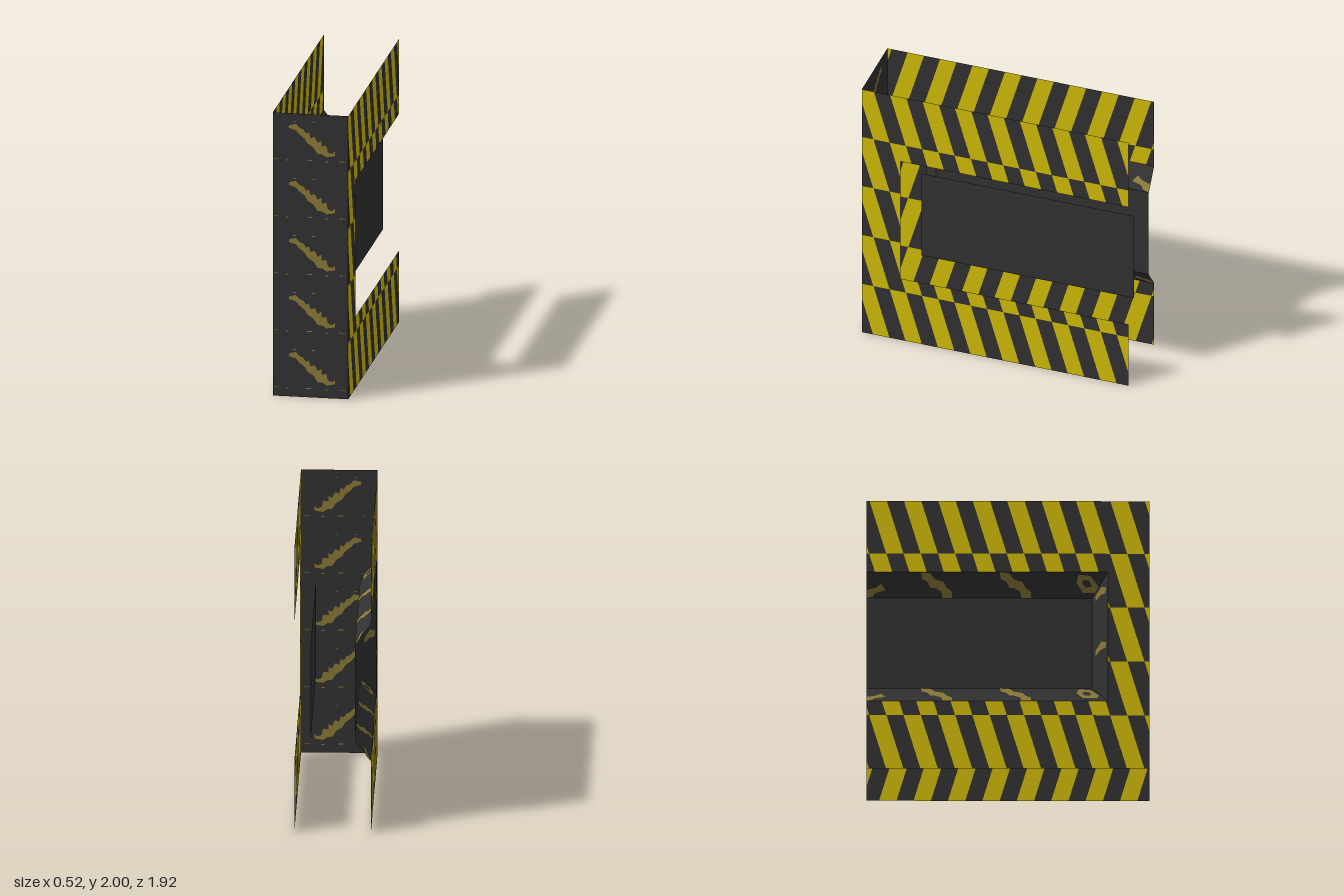
import * as THREE from 'three';
import { mergeGeometries } from 'three/addons/utils/BufferGeometryUtils.js';

const HX = 0.26, HZ = 0.96, H = 2;           // half width, half depth, height
const CUT = { lo: 0.505, hi: 1.47, z: 0.68 }; // side opening
const PAN = { lo: 0.65, hi: 1.325, z: 0.57, x: 0.15 }; // recessed panel
const ROW = 0.403, PITCH = 0.2335, BAND = 0.118, LEAN = 0.116;

const mat = (name, color) => {
  const m = new THREE.MeshStandardMaterial({ color, side: THREE.DoubleSide });
  m.name = name;
  return m;
};

// Flat convex polygons (arrays of [x, y, z]) as one geometry
function polygons(list) {
  const pos = [];
  for (const p of list)
    for (let i = 1; i < p.length - 1; i++) pos.push(...p[0], ...p[i], ...p[i + 1]);
  const g = new THREE.BufferGeometry();
  g.setAttribute('position', new THREE.Float32BufferAttribute(pos, 3));
  g.computeVertexNormals();
  return g;
}

// Cut a convex 2D polygon to a rectangle
function clip(poly, [u0, v0, u1, v1]) {
  for (const [axis, limit, sign] of [[0, u0, 1], [0, u1, -1], [1, v0, 1], [1, v1, -1]]) {
    const out = [];
    poly.forEach((a, i) => {
      const b = poly[(i + 1) % poly.length];
      const da = (a[axis] - limit) * sign, db = (b[axis] - limit) * sign;
      if (da >= 0) out.push(a);
      if (da * db < 0) {
        const t = da / (da - db);
        out.push([a[0] + (b[0] - a[0]) * t, a[1] + (b[1] - a[1]) * t]);
      }
    });
    poly = out;
  }
  return poly;
}

// Painted patch on the plane spanned by X and Y: one sheet just off each side
function patch(shapes, origin, X, Y) {
  const x = new THREE.Vector3(...X), y = new THREE.Vector3(...Y);
  const n = x.clone().cross(y).normalize();
  const place = new THREE.Matrix4().makeBasis(x, y, n).setPosition(...origin);
  return mergeGeometries([-0.002, 0.002].map(d =>
    new THREE.ShapeGeometry(shapes).translate(0, 0, d).applyMatrix4(place)));
}

const outline = (pts, du = 0, dv = 0) =>
  new THREE.Shape(pts.map(([u, v]) => new THREE.Vector2(u + du, v + dv)));

export function createModel() {
  const model = new THREE.Group();
  const dark = mat('charcoal', 0x323232);
  const yellow = mat('hazardYellow', 0xd4be08);
  const worn = mat('wornPaint', 0x8c7b38);
  const add = (name, geometry, material) => {
    const m = new THREE.Mesh(geometry, material);
    m.name = name;
    model.add(m);
  };

  // Striped C-shaped side walls; u runs left to right seen from outside.
  // The stripes run on from the front corner, so each wall has its own phase.
  for (const side of [1, -1]) {
    const name = side > 0 ? 'left' : 'right';
    const phase = side > 0 ? -0.76 : -0.76 + (2 * HZ) % PITCH;
    const column = side > 0 ? [-HZ, -CUT.z] : [CUT.z, HZ];
    const rects = [
      [-HZ, 0, HZ, CUT.lo],
      [-HZ, CUT.hi, HZ, H],
      [column[0], CUT.lo, column[1], CUT.hi],
    ];
    const bands = { yellow: [], dark: [] };
    for (let r = 0; r < 5; r++) {
      const top = 0.398 + r * ROW, bottom = top - ROW;
      for (let k = -3; k < 10; k++) {
        const start = phase + k * PITCH;
        for (const [key, a, b] of [['yellow', start, start + BAND], ['dark', start + BAND, start + PITCH]])
          for (const rect of rects) {
            const p = clip([[a + LEAN, bottom], [b + LEAN, bottom], [b, top], [a, top]], rect);
            if (p.length > 2) bands[key].push(p.map(([u, v]) => [side * HX, v, -side * u]));
          }
      }
    }
    add(name + 'WallYellowStripes', polygons(bands.yellow), yellow);
    add(name + 'WallDarkStripes', polygons(bands.dark), dark);

    // Recessed panel
    const x = side * PAN.x;
    const quad = [[x, PAN.lo, PAN.z], [x, PAN.lo, -HZ], [x, PAN.hi, -HZ], [x, PAN.hi, PAN.z]];
    add(name + 'Panel', polygons([side > 0 ? quad : quad.reverse()]), dark);
  }

  // Front wall with a column of worn streaks and faint dashes between them
  add('frontWall', polygons([[[-HX, 0, HZ], [HX, 0, HZ], [HX, H, HZ], [-HX, H, HZ]]]), dark);
  const streak = [
    [-0.15, 0.085], [-0.145, 0.105], [-0.1, 0.115], [-0.07, 0.085], [-0.05, 0.08], [-0.03, 0.05],
    [-0.01, 0.06], [0.0, 0.02], [0.03, 0.03], [0.05, -0.01], [0.075, 0.005], [0.075, -0.035],
    [0.11, -0.03], [0.12, -0.075], [0.15, -0.085], [0.17, -0.065], [0.17, -0.1], [0.11, -0.11],
    [0.08, -0.09], [0.05, -0.09], [0.02, -0.045], [-0.02, -0.02], [-0.04, 0.015], [-0.08, 0.045],
    [-0.1, 0.07],
  ];
  const frontMarks = [];
  for (let i = 0; i < 5; i++) {
    const y = 0.2 + i * ROW;
    frontMarks.push(outline(streak, 0, y));
    for (const [x, dy, w] of [[-0.25, -0.14, 0.03], [-0.17, -0.145, 0.02], [-0.03, -0.14, 0.04],
      [0.1, -0.145, 0.02], [0.2, -0.14, 0.04], [-0.12, 0.13, 0.02], [0.01, 0.13, 0.02]])
      frontMarks.push(outline([[x, dy], [x + w, dy], [x + w, dy + 0.005], [x, dy + 0.005]], 0, y));
  }
  add('frontMarks', patch(frontMarks, [0, 0, HZ], [1, 0, 0], [0, 1, 0]), worn);

  // Sloped rim joining the right wall to its panel
  const o = -HX, n = -PAN.x;
  add('rightRim', polygons([
    [[o, CUT.hi, -HZ], [o, CUT.hi, CUT.z], [n, PAN.hi, PAN.z], [n, PAN.hi, -HZ]],
    [[o, CUT.lo, CUT.z], [o, CUT.lo, -HZ], [n, PAN.lo, -HZ], [n, PAN.lo, PAN.z]],
    [[o, CUT.hi, CUT.z], [o, CUT.lo, CUT.z], [n, PAN.lo, PAN.z], [n, PAN.hi, PAN.z]],
  ]), dark);

  // Worn marks on the rim: a ring, two slanted streaks and an end piece
  const slant = [
    [-0.158, 0], [-0.09, 0], [-0.085, 0.25], [-0.04, 0.4], [-0.01, 0.4], [0.01, 0.62],
    [0.05, 0.75], [0.053, 1], [-0.01, 0.95], [-0.04, 0.72], [-0.1, 0.62], [-0.12, 0.4], [-0.155, 0.25],
  ];
  const ring = outline([[-0.62, 0.4], [-0.56, 0.85], [-0.48, 0.9], [-0.465, 0.6], [-0.51, 0.2], [-0.6, 0.2]]);
  ring.holes.push(outline([[-0.57, 0.45], [-0.55, 0.68], [-0.51, 0.7], [-0.505, 0.55], [-0.53, 0.4]]));
  const end = outline([[0.83, 0.3], [0.86, 0.55], [0.9, 0.4], [0.96, 0.3], [0.96, 0], [0.92, 0.05], [0.9, 0.2]]);
  const marks = [ring, outline(slant), outline(slant, 0.535), end];
  const dx = HX - PAN.x;
  const spot = [[0.1, 0.01], [0.4, 0.03], [0.75, -0.02], [0.75, -0.06], [0.45, -0.03], [0.15, -0.03]];
  add('rimMarks', mergeGeometries([
    patch(marks, [n, PAN.hi, 0], [0, 0, -1], [-dx, CUT.hi - PAN.hi, 0]),
    patch(marks, [o, CUT.lo, 0], [0, 0, -1], [dx, PAN.lo - CUT.lo, 0]),
    patch([outline(spot, 0, 0.94), outline(spot, 0, 1.35)], [o, 0, CUT.z], [dx, 0, PAN.z - CUT.z], [0, 1, 0]),
  ]), worn);

  return model;
}
